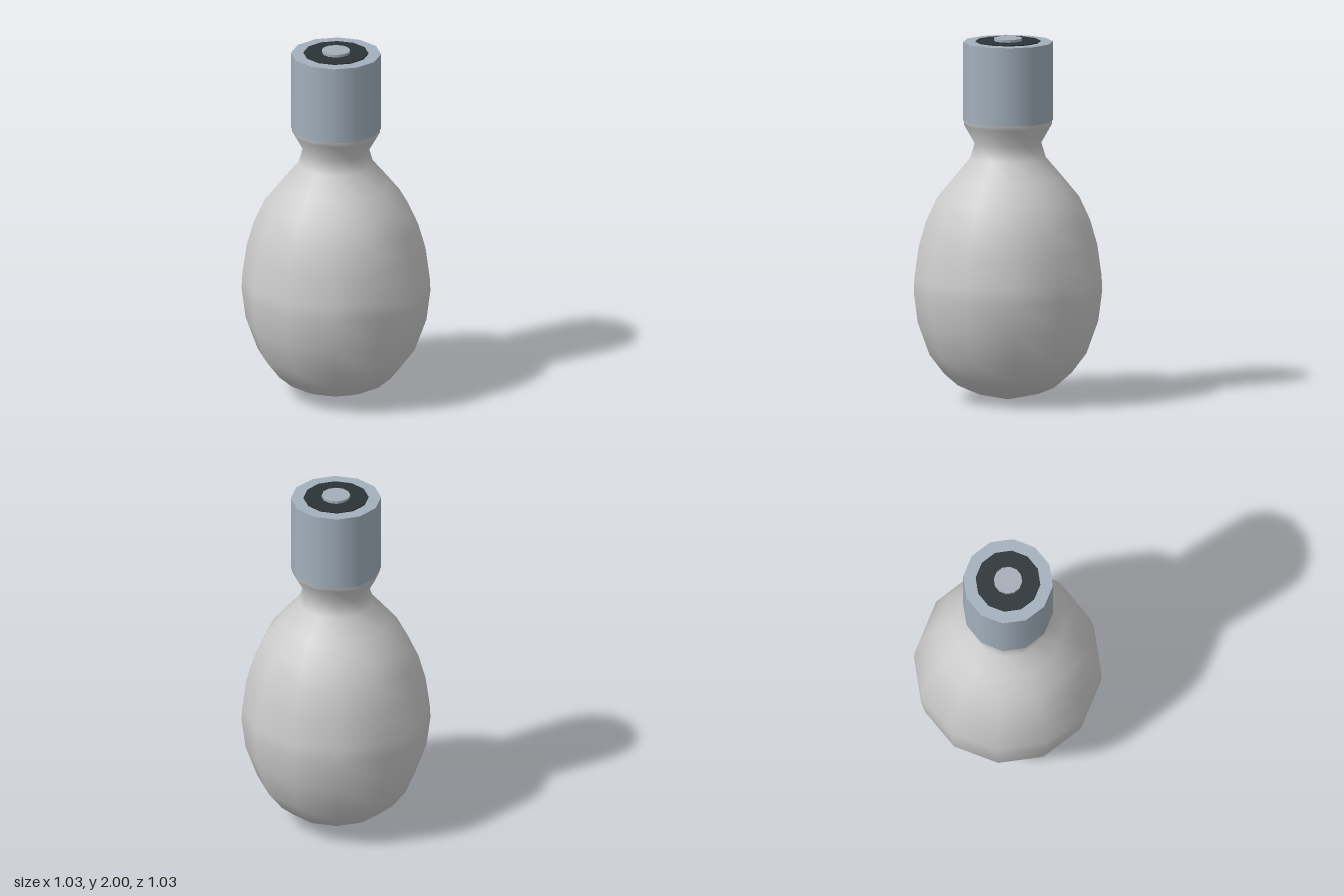
import * as THREE from 'three';

const SIDES = 12;

function material(color) {
  return new THREE.MeshStandardMaterial({ color });
}

// Upright cylinder standing between two heights
function disc(name, radius, bottom, top, color) {
  const geometry = new THREE.CylinderGeometry(radius, radius, top - bottom, SIDES);
  const mesh = new THREE.Mesh(geometry, material(color));
  mesh.name = name;
  mesh.position.y = (bottom + top) / 2;
  return mesh;
}

export function createModel() {
  const group = new THREE.Group();
  group.name = 'lightBulb';

  // Glass: pear-shaped envelope, pinched at the neck and flared into the cap
  const profile = [
    [0, 0], [0.185, 0.042], [0.275, 0.08], [0.35, 0.145], [0.43, 0.25],
    [0.495, 0.43], [0.517, 0.6], [0.513, 0.68], [0.49, 0.85], [0.45, 0.99],
    [0.39, 1.12], [0.3, 1.23], [0.207, 1.34], [0.183, 1.42], [0.24, 1.52],
    [0.243, 1.55],
  ].map(([r, y]) => new THREE.Vector2(r, y));
  const glass = new THREE.Mesh(new THREE.LatheGeometry(profile, SIDES), material(0xcccccc));
  glass.material.side = THREE.DoubleSide;
  glass.name = 'glassEnvelope';
  group.add(glass);

  // Metal cap, dark insulator and raised contact
  group.add(disc('metalCap', 0.247, 1.545, 1.98, 0xa3b0bc));
  group.add(disc('insulator', 0.178, 1.96, 1.985, 0x2b3336));
  group.add(disc('contact', 0.078, 1.97, 2, 0xa5adb8));

  return group;
}
